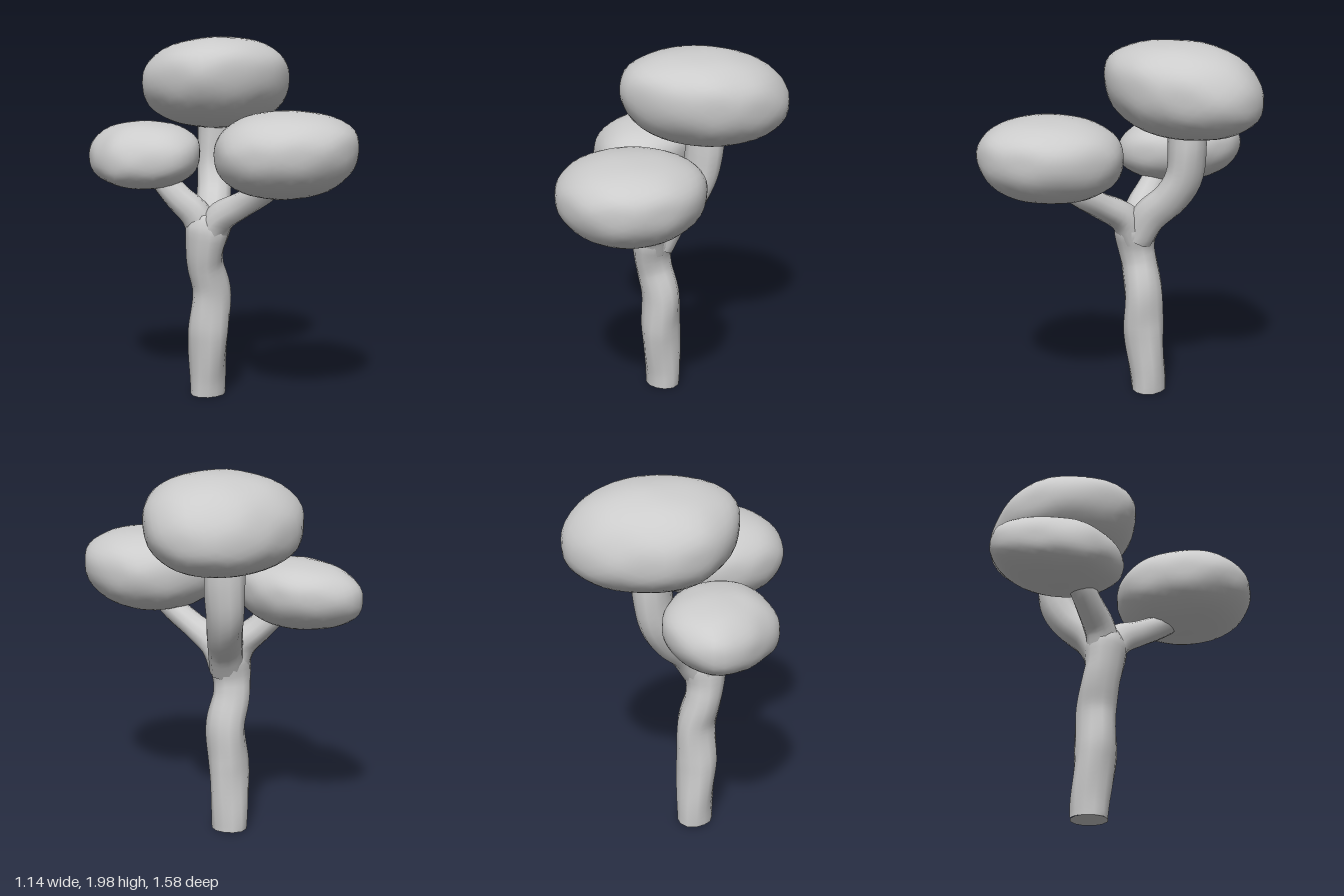
import * as THREE from 'three';
import { mergeVertices } from 'three/addons/utils/BufferGeometryUtils.js';

const material = new THREE.MeshStandardMaterial({ color: 0xcccccc, roughness: 0.9 });

// Tapered limb: each point is [x, y, z, radius]
function limb(name, points) {
  const path = new THREE.CatmullRomCurve3(points.map(p => new THREE.Vector3(p[0], p[1], p[2])), false, 'centripetal');
  const steps = (points.length - 1) * 4, sides = 12;
  const geo = new THREE.TubeGeometry(path, steps, 1, sides, false);
  const pos = geo.attributes.position, v = new THREE.Vector3();
  for (let i = 0; i <= steps; i++) {
    const u = path.getUtoTmapping(i / steps) * (points.length - 1);
    const k = Math.min(Math.floor(u), points.length - 2);
    const r = THREE.MathUtils.lerp(points[k][3], points[k + 1][3], u - k);
    const c = path.getPointAt(i / steps);
    for (let j = 0; j <= sides; j++) {
      const n = i * (sides + 1) + j;
      const knob = 1 + 0.05 * Math.sin(3 * (j % sides) / sides * Math.PI * 2 + i * 0.35);
      v.fromBufferAttribute(pos, n).sub(c).multiplyScalar(r * knob).add(c);
      pos.setXYZ(n, v.x, Math.max(v.y, 0.01), v.z);
    }
  }
  geo.deleteAttribute('uv');
  geo.deleteAttribute('normal');
  const welded = mergeVertices(geo);
  welded.computeVertexNormals();
  const mesh = new THREE.Mesh(welded, material);
  mesh.name = name;
  return mesh;
}

// Leaf clump: plan outline [x, z], rounded above and below a sloping equator
function foliage(name, { outline, mid, top, bottom, slopeX = 0, slopeZ = 0, seed }) {
  const box = new THREE.Box2().setFromPoints(outline.map(p => new THREE.Vector2(p[0], p[1])));
  const c = box.getCenter(new THREE.Vector2());
  const ring = new THREE.CatmullRomCurve3(outline.map(p => new THREE.Vector3(p[0] - c.x, 0, p[1] - c.y)), true)
    .getPoints(120).slice(0, -1)
    .map(p => ({ a: Math.atan2(p.z, p.x), r: Math.hypot(p.x, p.z) })).sort((p, q) => p.a - q.a);
  const reach = a => {
    let i = ring.findIndex(p => p.a > a);
    if (i < 0) i = 0;
    const q = ring[i], p = ring[(i + ring.length - 1) % ring.length];
    const turn = Math.PI * 2, span = (q.a - p.a + turn) % turn || 1;
    return THREE.MathUtils.lerp(p.r, q.r, ((a - p.a + turn) % turn) / span);
  };
  let geo = new THREE.IcosahedronGeometry(1, 7);
  geo.deleteAttribute('uv');
  geo.deleteAttribute('normal');
  geo = mergeVertices(geo, 1e-4);
  const pos = geo.attributes.position;
  for (let i = 0; i < pos.count; i++) {
    const x = pos.getX(i), y = pos.getY(i), z = pos.getZ(i), h = Math.hypot(x, z);
    const power = 2.25, fit = 1 / Math.pow(h ** power + Math.abs(y) ** power, 1 / power);
    const lump = 1 + 0.012 * Math.sin(7 * x + seed) * Math.sin(6 * y + 2 * seed) * Math.cos(7 * z + seed);
    const a = Math.atan2(z, x), r = reach(a) * h * fit * lump;
    const px = Math.cos(a) * r, pz = Math.sin(a) * r, ny = y * fit * lump;
    const tilt = (px * slopeX + pz * slopeZ) * (1 - 0.7 * ny * ny);
    pos.setXYZ(i, c.x + px, mid + tilt + ny * (y > 0 ? top - mid : mid - bottom), c.y + pz);
  }
  geo.computeVertexNormals();
  const mesh = new THREE.Mesh(geo, material);
  mesh.name = name;
  return mesh;
}

export function createModel() {
  const tree = new THREE.Group();
  tree.name = 'tree';

  // Trunk with its flat foot
  tree.add(limb('trunk', [
    [-0.048, 0.01, -0.168, 0.097], [-0.048, 0.1, -0.165, 0.1], [-0.055, 0.38, -0.138, 0.112],
    [-0.045, 0.6, -0.132, 0.106], [-0.085, 0.75, -0.125, 0.1], [-0.095, 0.84, -0.11, 0.103],
    [-0.085, 0.95, -0.1, 0.12], [-0.075, 1.03, -0.1, 0.09], [-0.075, 1.06, -0.1, 0.005]]));
  const foot = new THREE.Mesh(new THREE.CircleGeometry(0.098, 12), material);
  foot.name = 'trunkFoot';
  foot.rotation.x = Math.PI / 2;
  foot.position.set(-0.048, 0.011, -0.168);
  tree.add(foot);

  // Three branches
  tree.add(limb('topBranch', [
    [-0.06, 0.9, -0.11, 0.09], [-0.01, 1.03, -0.16, 0.095], [0.06, 1.14, -0.25, 0.095],
    [0.1, 1.26, -0.31, 0.1], [0.12, 1.42, -0.325, 0.105], [0.12, 1.6, -0.325, 0.1]]));
  tree.add(limb('frontBranch', [
    [-0.08, 0.9, -0.09, 0.09], [-0.06, 1.01, -0.03, 0.085], [-0.01, 1.1, 0.11, 0.07],
    [0.03, 1.18, 0.24, 0.066], [0.05, 1.27, 0.37, 0.06]]));
  tree.add(limb('backBranch', [
    [-0.09, 0.9, -0.11, 0.09], [-0.13, 1.03, -0.14, 0.085], [-0.2, 1.12, -0.21, 0.075],
    [-0.25, 1.2, -0.27, 0.07], [-0.29, 1.3, -0.33, 0.06]]));

  // Three leaf clumps
  tree.add(foliage('topFoliage', {
    outline: [[0.56, -0.35], [0.5, -0.15], [0.33, 0.03], [0.05, 0.1], [-0.2, 0.02], [-0.3, -0.2],
      [-0.275, -0.46], [-0.18, -0.58], [-0.06, -0.65], [0.3, -0.675], [0.51, -0.54]],
    mid: 1.74, top: 1.985, bottom: 1.48, slopeX: -0.04, slopeZ: 0.13, seed: 1 }));
  tree.add(foliage('frontFoliage', {
    outline: [[0.43, 0.375], [0.39, 0.58], [0.21, 0.76], [0, 0.78], [-0.225, 0.66], [-0.33, 0.44],
      [-0.27, 0.23], [-0.1, 0.06], [0.07, 0.03], [0.23, 0.06], [0.36, 0.16]],
    mid: 1.41, top: 1.615, bottom: 1.165, slopeX: 0.04, slopeZ: 0.04, seed: 2.3 }));
  tree.add(foliage('backFoliage', {
    outline: [[-0.01, -0.42], [-0.04, -0.25], [-0.14, -0.11], [-0.275, -0.06], [-0.39, -0.1], [-0.56, -0.3],
      [-0.56, -0.48], [-0.5, -0.67], [-0.4, -0.78], [-0.225, -0.76], [-0.07, -0.64]],
    mid: 1.345, top: 1.525, bottom: 1.16, slopeX: 0.12, slopeZ: -0.03, seed: 4.1 }));
  return tree;
}
